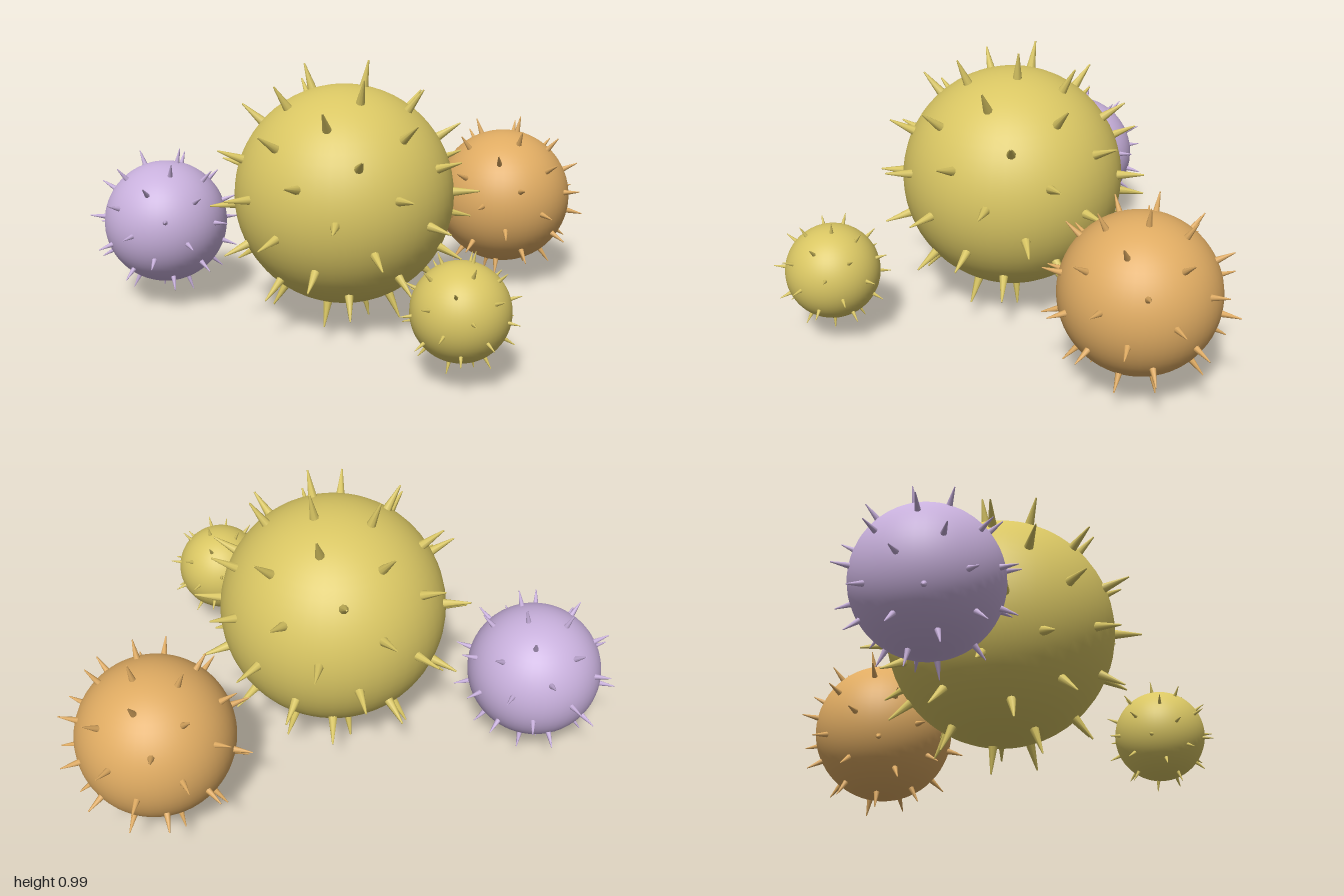
import * as THREE from 'three';
import { mergeGeometries } from 'three/addons/utils/BufferGeometryUtils.js';

const UP = new THREE.Vector3(0, 1, 0);
const GOLDEN_ANGLE = Math.PI * (3 - Math.sqrt(5));

// Spines spread evenly over a ball along a golden-angle spiral
function spineGeometry(radius, count) {
  const start = radius * 0.97, tip = radius * 1.235;
  const spine = new THREE.CylinderGeometry(radius * 0.007, radius * 0.045, tip - start, 8);
  spine.translate(0, (start + tip) / 2, 0);
  const spines = [];
  for (let i = 0; i < count; i++) {
    const y = 1 - (2 * i + 1) / count;
    const ring = Math.sqrt(1 - y * y);
    const angle = i * GOLDEN_ANGLE;
    const direction = new THREE.Vector3(ring * Math.cos(angle), y, -ring * Math.sin(angle));
    const turn = new THREE.Quaternion().setFromUnitVectors(UP, direction);
    spines.push(spine.clone().applyQuaternion(turn));
  }
  return mergeGeometries(spines);
}

// One grain: smooth round body plus its coat of spines
function spikyGrain(name, radius, count, material, x, y, z) {
  const grain = new THREE.Group();
  grain.name = name;
  const body = new THREE.Mesh(new THREE.SphereGeometry(radius, 48, 32), material);
  body.name = name + 'Body';
  const spines = new THREE.Mesh(spineGeometry(radius, count), material);
  spines.name = name + 'Spines';
  grain.add(body, spines);
  grain.position.set(x, y, z);
  return grain;
}

function flatColour(name, color) {
  const material = new THREE.MeshStandardMaterial({ color });
  material.name = name;
  return material;
}

export function createModel() {
  const yellow = flatColour('yellow', 0xd9c663);
  const orange = flatColour('orange', 0xdfab62);
  const purple = flatColour('purple', 0xc8b0dc);

  const model = new THREE.Group();
  model.name = 'spikyGrains';
  model.add(
    spikyGrain('largeGrain', 0.409, 56, yellow, -0.09, 0.498, -0.1),
    spikyGrain('orangeGrain', 0.272, 44, orange, 0.665, 0.362, -0.37),
    spikyGrain('purpleGrain', 0.238, 41, purple, -0.71, 0.328, -0.51),
    spikyGrain('smallGrain', 0.17, 35, yellow, 0.115, 0.26, 0.595),
  );
  return model;
}
